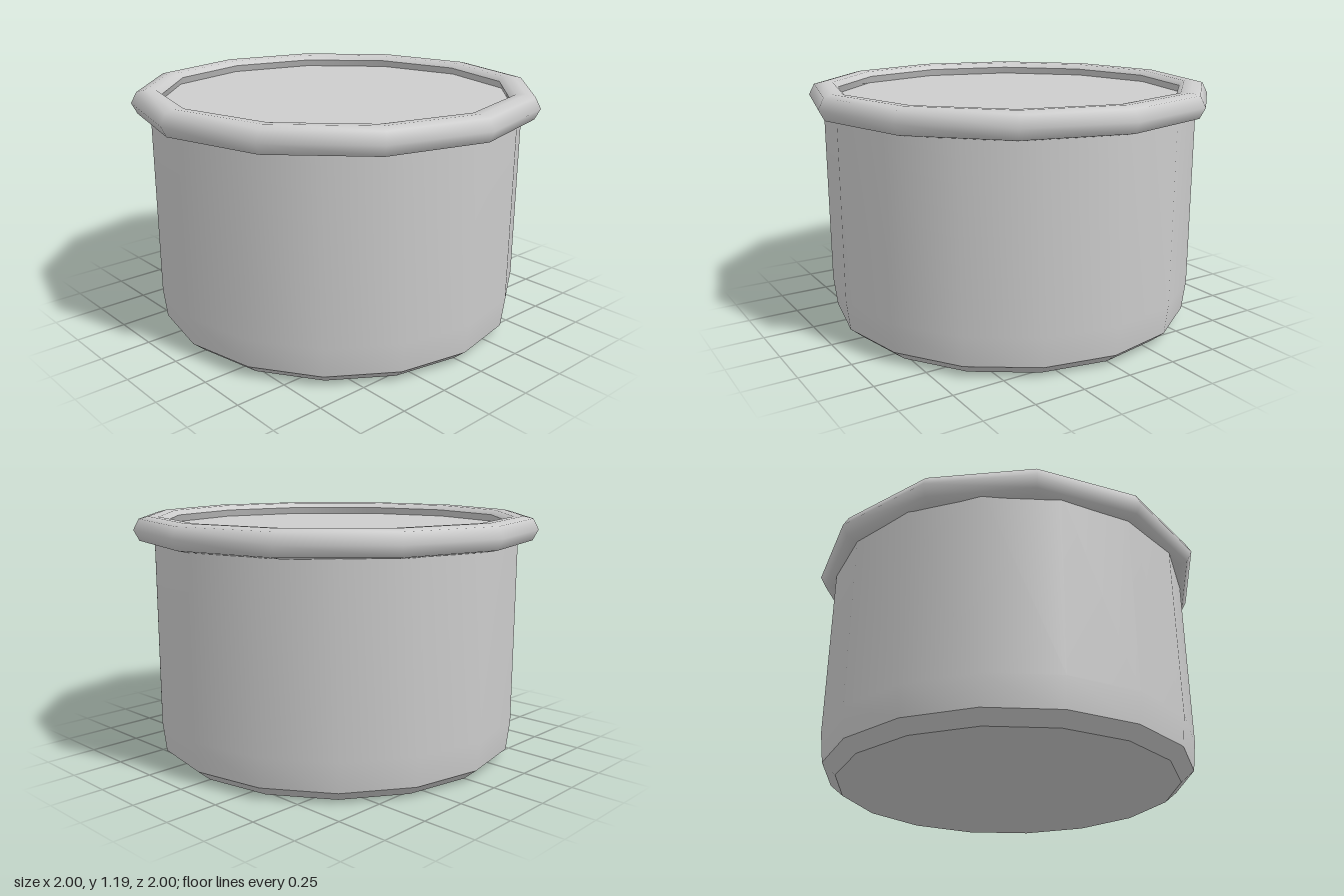
import * as THREE from 'three';

const metal = new THREE.MeshStandardMaterial({ color: 0xcccccc });
metal.name = 'light grey';

// Revolves a profile of [radius, height] points, listed counterclockwise.
function lathe(name, profile, sides) {
  const points = profile.map(([r, y]) => new THREE.Vector2(r, y));
  const mesh = new THREE.Mesh(new THREE.LatheGeometry(points, sides), metal);
  mesh.name = name;
  return mesh;
}

// Flat polygon facing up or down.
function disc(name, radius, y, sides, up) {
  const geometry = new THREE.CircleGeometry(radius, sides);
  geometry.rotateX(up ? -Math.PI / 2 : Math.PI / 2);
  geometry.translate(0, y, 0);
  const mesh = new THREE.Mesh(geometry, metal);
  mesh.name = name;
  return mesh;
}

export function createModel() {
  const group = new THREE.Group();
  group.name = 'pot';

  // Sixteen-sided body with a slight taper and a sharp chamfer at the base
  group.add(disc('base', 0.835, 0, 16, false));
  group.add(lathe('baseChamfer', [[0.835, 0], [0.9, 0.055]], 16));
  group.add(lathe('wall', [[0.9, 0.055], [0.917, 0.2], [0.917, 1.11]], 16));

  // Twelve-sided rounded rim
  group.add(lathe('rim', [
    [0.86, 1.066], [0.93, 1.064], [0.973, 1.074], [1, 1.126],
    [0.973, 1.178], [0.928, 1.189], [0.88, 1.186], [0.856, 1.162],
  ], 12));

  // Undercut inner lip and the lid set just below the rim
  group.add(lathe('innerLip', [[0.856, 1.162], [0.87, 1.126]], 12));
  group.add(disc('lid', 0.87, 1.126, 12, true));

  return group;
}
